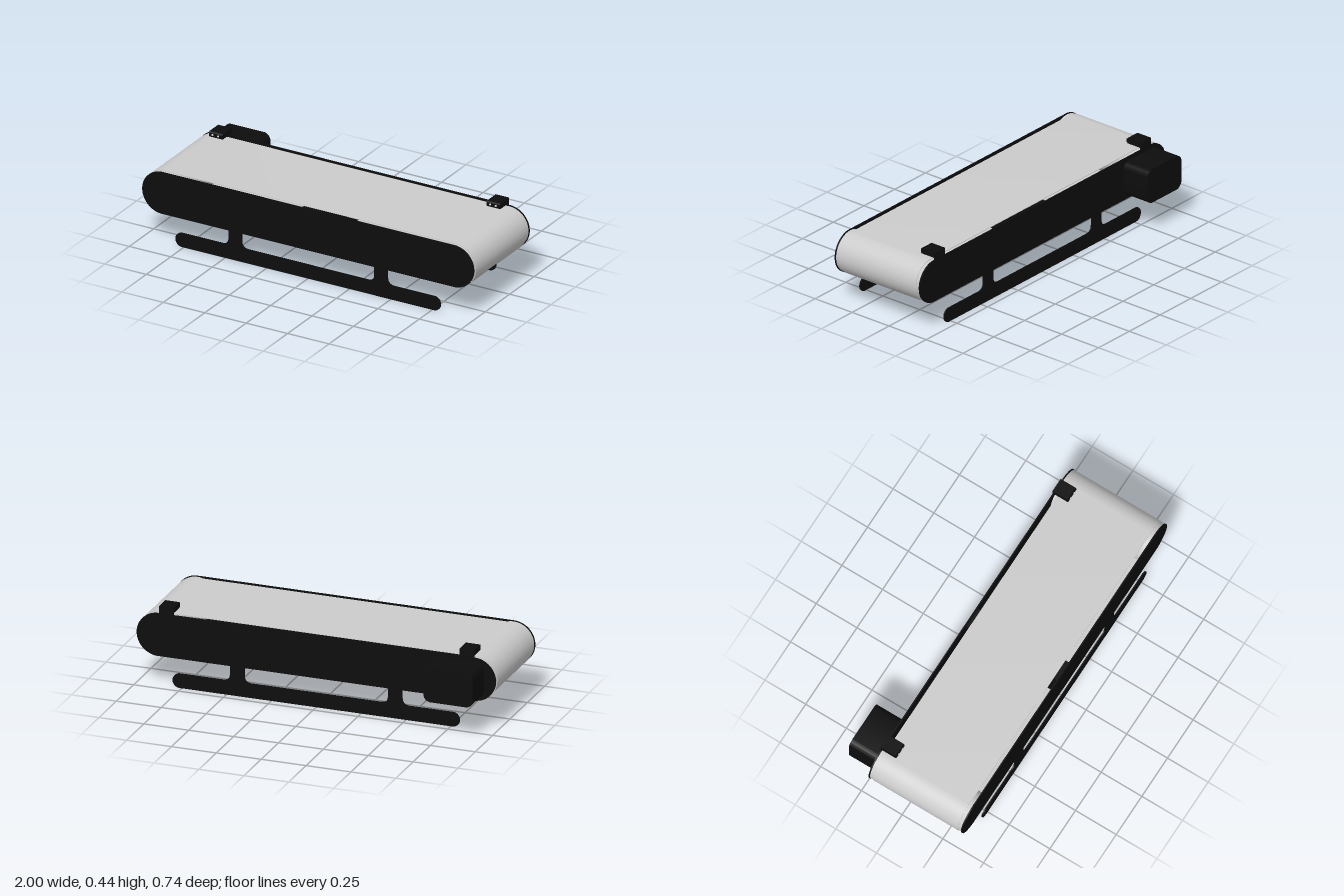
import * as THREE from 'three';
import { toCreasedNormals } from 'three/addons/utils/BufferGeometryUtils.js';

const grey = new THREE.MeshStandardMaterial({ color: 0xcccccc });
const black = new THREE.MeshStandardMaterial({ color: 0x0d0d0d });
const MID = 0.281; // height of the roller axes
const AXIS = 0.881; // roller distance from the centre
const BACK = -0.207; // outer face of the back plate
const FRONT = 0.368; // outer face of the front plate

// Extrudes a shape from z0 to z1 with smooth curves and sharp edges
function slab(shape, z0, z1) {
  const geo = new THREE.ExtrudeGeometry(shape, { depth: z1 - z0, bevelEnabled: false, curveSegments: 28 });
  geo.translate(0, 0, z0);
  return toCreasedNormals(geo, 0.6);
}

function stadium(path, r) {
  path.absarc(AXIS, MID, r, -Math.PI / 2, Math.PI / 2);
  path.absarc(-AXIS, MID, r, Math.PI / 2, Math.PI * 1.5);
  path.closePath();
  return path;
}

function roundedRect(x0, y0, x1, y1, r) {
  const s = new THREE.Shape();
  s.absarc(x1 - r, y0 + r, r, -Math.PI / 2, 0);
  s.absarc(x1 - r, y1 - r, r, 0, Math.PI / 2);
  s.absarc(x0 + r, y1 - r, r, Math.PI / 2, Math.PI);
  s.absarc(x0 + r, y0 + r, r, Math.PI, Math.PI * 1.5);
  s.closePath();
  return s;
}

// Side plate outline: foot rail, two filleted posts and the rounded frame in one sheet
function plateShape() {
  const s = new THREE.Shape();
  const q = Math.PI / 2, low = MID - 0.119;
  s.absarc(0.76, 0.04, 0.04, -q, q);
  s.lineTo(0.52, 0.08);
  s.quadraticCurveTo(0.48, 0.08, 0.48, 0.12);
  s.lineTo(0.48, low);
  s.absarc(AXIS, MID, 0.119, -q, q);
  s.absarc(-AXIS, MID, 0.119, q, 3 * q);
  s.lineTo(-0.48, low);
  s.lineTo(-0.48, 0.12);
  s.quadraticCurveTo(-0.48, 0.08, -0.52, 0.08);
  s.absarc(-0.76, 0.04, 0.04, q, 3 * q);
  s.closePath();

  const h = new THREE.Path();
  h.moveTo(-0.36, 0.08);
  h.lineTo(0.36, 0.08);
  h.quadraticCurveTo(0.4, 0.08, 0.4, 0.12);
  h.lineTo(0.4, low);
  h.lineTo(-0.4, low);
  h.lineTo(-0.4, 0.12);
  h.quadraticCurveTo(-0.4, 0.08, -0.36, 0.08);
  s.holes.push(h);
  return s;
}

export function createModel() {
  const model = new THREE.Group();
  model.name = 'conveyor';
  const add = (name, geo, mat, parent = model) => {
    const mesh = new THREE.Mesh(geo, mat);
    mesh.name = name;
    parent.add(mesh);
    return mesh;
  };

  // Side plates with feet
  add('frontPlate', slab(plateShape(), FRONT - 0.007, FRONT), black);
  add('backPlate', slab(plateShape(), BACK, BACK + 0.007), black);

  // Belt loop
  const loop = stadium(new THREE.Shape(), 0.1185);
  loop.holes.push(stadium(new THREE.Path(), 0.1155));
  add('belt', slab(loop, -0.18, 0.341), grey);

  // End rollers, spanning plate to plate
  const inner = FRONT - BACK - 0.014;
  const midZ = (FRONT + BACK) / 2;
  for (const side of [-1, 1]) {
    const roller = add('roller', new THREE.CylinderGeometry(0.1153, 0.1153, inner, 56), grey);
    roller.rotation.x = Math.PI / 2;
    roller.position.set(side * AXIS, MID, midZ);
  }

  // Middle cross beam joining the plates
  add('crossBeam', new THREE.BoxGeometry(0.116, 0.2, inner), black).position.set(0, MID, midZ);

  // Drive motor behind the back plate
  add('motor', slab(roundedRect(-0.935, 0.185, -0.66, 0.378, 0.04), -FRONT, BACK), black);

  // Sensors on tabs of the back plate
  for (const x of [-0.84, 0.835]) {
    const sensor = new THREE.Group();
    sensor.name = 'sensor';
    sensor.position.x = x;
    model.add(sensor);
    add('sensorTab', new THREE.BoxGeometry(0.08, 0.05, 0.007), black, sensor).position.set(0, 0.417, BACK + 0.0035);

    // Body profile in (depth, height), with its front corners bevelled
    const profile = new THREE.Shape([
      [0, 0.411], [0.09, 0.411], [0.096, 0.417], [0.096, 0.436], [0.09, 0.442], [0, 0.442],
    ].map(([a, b]) => new THREE.Vector2(a, b)));
    const body = add('sensorBody', slab(profile, -0.04, 0.04), black, sensor);
    body.rotation.y = -Math.PI / 2;
    body.position.z = BACK;

    for (const dx of [-0.017, 0.017]) {
      add('sensorLens', new THREE.SphereGeometry(0.006, 16, 12), grey, sensor).position.set(dx, 0.427, -0.11);
    }
  }
  return model;
}
